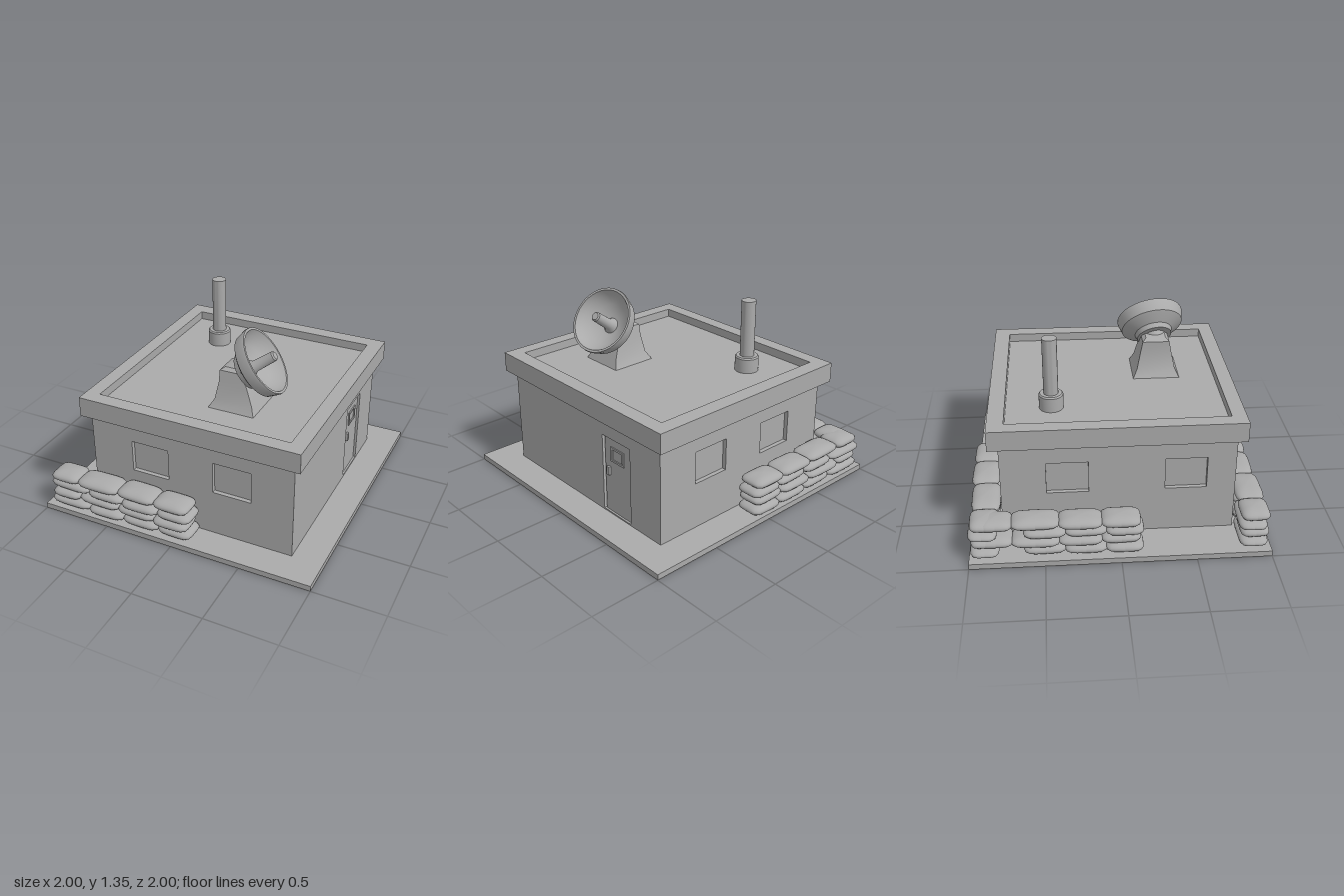
import * as THREE from 'three';
import { toCreasedNormals } from 'three/addons/utils/BufferGeometryUtils.js';

const grey = new THREE.MeshStandardMaterial({ color: 0xaaaaaa });
grey.name = 'plain grey';

function add(parent, name, geometry, x = 0, y = 0, z = 0) {
  const mesh = new THREE.Mesh(geometry, grey);
  mesh.name = name;
  mesh.position.set(x, y, z);
  parent.add(mesh);
  return mesh;
}

// Box given by its limits on each axis
function block(parent, name, x0, x1, y0, y1, z0, z1) {
  return add(parent, name, new THREE.BoxGeometry(x1 - x0, y1 - y0, z1 - z0),
    (x0 + x1) / 2, (y0 + y1) / 2, (z0 + z1) / 2);
}

function rectangle(Type, x0, x1, y0, y1) {
  return new Type([[x0, y0], [x1, y0], [x1, y1], [x0, y1]].map(p => new THREE.Vector2(...p)));
}

// Flat panel with rectangular holes, facing +z
function panel(x0, x1, y0, y1, depth, holes) {
  const shape = rectangle(THREE.Shape, x0, x1, y0, y1);
  shape.holes = holes.map(h => rectangle(THREE.Path, ...h));
  return new THREE.ExtrudeGeometry(shape, { depth, bevelEnabled: false });
}

function lathe(points, sides = 32) {
  const g = new THREE.LatheGeometry(points.map(p => new THREE.Vector2(...p)), sides);
  return toCreasedNormals(g, 0.6);
}

// Unit pillow: a sphere squared off in plan and fattened at the sides
function pillowGeometry() {
  const g = new THREE.SphereGeometry(1, 28, 12);
  const p = g.attributes.position;
  for (let i = 0; i < p.count; i++) {
    const x = p.getX(i), z = p.getZ(i);
    const ring = Math.hypot(x, z);
    if (ring < 1e-5) continue;
    const square = Math.pow(Math.abs(x) ** 5 + Math.abs(z) ** 5, 1 / 5);
    const k = Math.pow(ring, 0.8) / square;
    p.setX(i, x * k);
    p.setZ(i, z * k);
  }
  g.computeVertexNormals();
  return g;
}

function buildWalls(root) {
  const walls = new THREE.Group();
  walls.name = 'walls';
  const cx = 0.0425, hx = 0.7425, hz = 0.783, t = 0.03, bottom = 0.04, top = 0.75;
  walls.position.x = cx;
  root.add(walls);
  block(walls, 'wallCore', -hx + t, hx - t, bottom, top, -hz + t, hz - t);
  const win = (a, b) => [a, b, 0.37, 0.6];
  const sides = [
    ['frontWall', 0, hx, hz, [win(-0.435, -0.16), win(0.17, 0.445)]],
    ['backWall', Math.PI, hx, hz, [win(-0.445, -0.17), win(0.16, 0.435)]],
    ['rightDoorWall', Math.PI / 2, hz, hx, [[0.21, 0.49, 0.05, 0.61]]],
    ['sideWindowWall', -Math.PI / 2, hz, hx, [win(-0.48, -0.2), win(0.31, 0.59)]],
  ];
  for (const [name, angle, half, out, holes] of sides) {
    const side = new THREE.Group();
    side.name = name + 'Side';
    side.rotation.y = angle;
    walls.add(side);
    add(side, name, panel(-half, half, bottom, top, t, holes), 0, 0, out - t);
  }
  // Door with a small window and handle, set into the +x wall
  block(walls, 'door', hx - t, hx - 0.014, 0.05, 0.6, -0.48, -0.22);
  const frame = add(walls, 'doorWindowFrame',
    panel(0.285, 0.415, 0.44, 0.545, 0.008, [[0.3, 0.4, 0.455, 0.53]]), hx - 0.014);
  frame.rotation.y = Math.PI / 2;
  block(walls, 'doorHandle', hx - 0.014, hx + 0.004, 0.33, 0.39, -0.275, -0.25);
}

function buildRoof(root) {
  const parapet = add(root, 'roofParapet',
    panel(-0.75, 0.84, -0.84, 0.85, 0.14, [[-0.65, 0.735, -0.74, 0.74]]), 0, 0.74, 0);
  parapet.rotation.x = -Math.PI / 2;
  block(root, 'roofFloor', -0.66, 0.745, 0.741, 0.82, -0.75, 0.75);

  // Pole standing in a collar
  add(root, 'pole', lathe([
    [0, 0], [0.083, 0], [0.083, 0.1], [0.075, 0.11], [0.05, 0.11], [0.05, 0.51], [0, 0.51],
  ]), -0.335, 0.82, -0.43);
}

function buildDish(root) {
  // Leaning tapered pedestal with a flared foot
  const levels = [ // y, x centre, half width x, half width z
    [0.82, 0.2, 0.165, 0.165], [0.88, 0.205, 0.135, 0.135],
    [1.0, 0.19, 0.1, 0.11], [1.08, 0.165, 0.075, 0.095], [1.1, 0.17, 0.05, 0.07],
  ];
  const g = new THREE.BoxGeometry(2, 4, 2, 1, 4, 1);
  const p = g.attributes.position;
  for (let i = 0; i < p.count; i++) {
    const [y, c, wx, wz] = levels[Math.round(p.getY(i) + 2)];
    p.setXYZ(i, c + p.getX(i) * wx, y, p.getZ(i) * wz);
  }
  add(root, 'dishPedestal', toCreasedNormals(g, 0.6), 0, 0, 0.325);

  const dish = new THREE.Group();
  dish.name = 'dish';
  dish.position.set(0.37, 1.16, 0.305);
  const axis = new THREE.Vector3(0.8, 0.59, -0.14).normalize();
  dish.quaternion.setFromUnitVectors(new THREE.Vector3(0, 1, 0), axis);
  root.add(dish);
  add(dish, 'dishBowl', lathe([
    [0, -0.17], [0.125, -0.17], [0.135, -0.135], [0.2, -0.1], [0.222, -0.085],
    [0.24, -0.015], [0.238, 0], [0.222, 0], [0.2, -0.045], [0.15, -0.09],
    [0.08, -0.12], [0, -0.13],
  ], 40));
  add(dish, 'dishMount', new THREE.CylinderGeometry(0.085, 0.06, 0.1, 24), 0, -0.21, 0);
  add(dish, 'dishFeed', lathe([
    [0.06, -0.13], [0.038, -0.09], [0.034, 0.065], [0.026, 0.075], [0, 0.075],
  ], 20));
}

function buildSandbags(root) {
  const pillow = pillowGeometry();
  // Two staggered patterns of joints along a row, used on alternate layers
  const even = [-0.97, -0.66, -0.39, -0.12, 0.12];
  const odd = [-0.95, -0.74, -0.43, -0.15, 0.1];
  const rows = [
    ['frontSandbags', 'x', 0.885, 0],
    ['backSandbags', 'x', -0.895, 0],
    ['sideSandbags', 'z', -0.865, 0.025],
  ];
  for (const [name, along, across, shift] of rows) {
    const row = new THREE.Group();
    row.name = name;
    root.add(row);
    for (let layer = 0; layer < 4; layer++) {
      const joints = layer % 2 ? odd : even;
      for (let i = 0; i < 4; i++) {
        // The side row shares its corner bags with the back row
        if (along === 'z' && i === 0) {
          if (layer === 0 || layer === 2) continue;
        }
        const mid = (joints[i] + joints[i + 1]) / 2;
        const half = (joints[i + 1] - joints[i]) / 2 + 0.006;
        const wobble = 0.008 * Math.sin(layer * 2.3 + i * 1.7);
        const y = 0.077 + layer * 0.0655;
        const bag = add(row, 'sandbag', pillow);
        if (along === 'x') {
          bag.position.set(mid, y, across + wobble);
          bag.scale.set(half, 0.04, 0.097);
        } else {
          bag.position.set(across + wobble, y, mid + shift);
          bag.scale.set(0.097, 0.04, half);
        }
        bag.rotation.y = wobble * 3;
      }
    }
  }
}

export function createModel() {
  const root = new THREE.Group();
  root.name = 'outpost';
  block(root, 'groundSlab', -1, 1, 0, 0.04, -1, 1);
  buildWalls(root);
  buildRoof(root);
  buildDish(root);
  buildSandbags(root);
  return root;
}
